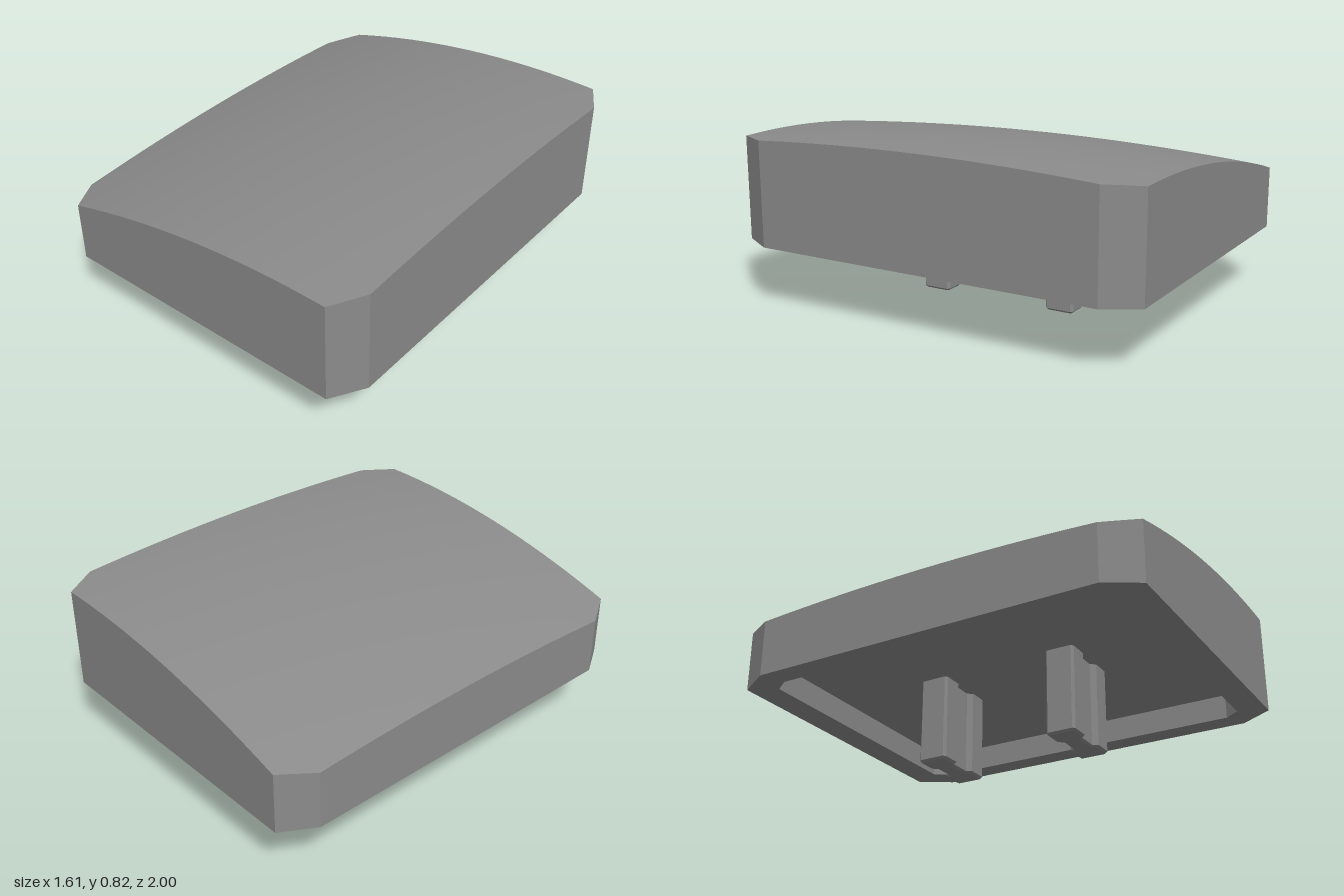
import * as THREE from 'three';
import { toCreasedNormals } from 'three/addons/utils/BufferGeometryUtils.js';

const BASE = 0.291, CEILING = 0.41;

// Height of the domed, sloping top
const topHeight = (x, z) => 0.818 - 0.115 * (x - 0.6) ** 2 - 0.04 * z * z;

// Rectangle with cut corners, sampled as a closed loop of [x, z]
function outline(hx, hz, cx, cz) {
  const corners = [
    [hx, -hz + cz], [hx, hz - cz], [hx - cx, hz], [-hx + cx, hz],
    [-hx, hz - cz], [-hx, -hz + cz], [-hx + cx, -hz], [hx - cx, -hz],
  ];
  const points = [];
  corners.forEach(([x0, z0], i) => {
    const [x1, z1] = corners[(i + 1) % 8];
    const steps = i % 2 ? 2 : 16;
    for (let k = 0; k < steps; k++) {
      points.push([x0 + (x1 - x0) * k / steps, z0 + (z1 - z0) * k / steps]);
    }
  });
  return points;
}

// Skin between successive loops; the first and last loop are single points
function loft(rows) {
  const n = rows[0].length, index = [];
  for (let i = 0; i < rows.length - 1; i++) {
    for (let j = 0; j < n; j++) {
      const a = i * n + j, b = i * n + (j + 1) % n, c = a + n, d = b + n;
      if (i > 0) index.push(a, c, b);
      if (i < rows.length - 2) index.push(b, c, d);
    }
  }
  const geometry = new THREE.BufferGeometry();
  geometry.setAttribute('position', new THREE.Float32BufferAttribute(rows.flat(2), 3));
  geometry.setIndex(index);
  return toCreasedNormals(geometry, 0.35);
}

function capGeometry() {
  const outer = outline(0.803, 1, 0.093, 0.157);
  const inner = outline(0.695, 0.865, 0.05, 0.07);
  const level = (loop, y) => loop.map(([x, z]) => [x, y, z]);
  // Cavity ceiling, cavity wall and bottom rim
  const rows = [
    inner.map(() => [0, CEILING, 0]),
    level(inner, CEILING),
    level(inner, BASE),
    level(outer, BASE),
  ];
  // Outer wall, then rings of the top surface shrinking to the centre
  const rings = 14;
  for (let r = rings; r >= 0; r--) {
    const s = r / rings;
    rows.push(outer.map(([x, z]) => [x * s, topHeight(x * s, z * s), z * s]));
  }
  return loft(rows);
}

// Prong with a waisted section and bevelled ends
function prongGeometry() {
  const half = [[0.17, 0.06], [0.157, 0.071], [0.068, 0.071], [0.052, 0.046]];
  const mirrored = half.map(([x, y]) => [-x, y]).reverse();
  const upper = [...half, ...mirrored];
  const lower = upper.map(([x, y]) => [-x, -y]);
  const shape = new THREE.Shape([...upper, ...lower].map(p => new THREE.Vector2(...p)));
  const bevel = 0.01;
  const geometry = new THREE.ExtrudeGeometry(shape, {
    depth: CEILING - bevel, bevelThickness: bevel, bevelSize: bevel,
    bevelOffset: -bevel, bevelSegments: 1,
  });
  geometry.rotateX(-Math.PI / 2);
  geometry.translate(0, bevel, 0);
  return geometry;
}

export function createModel() {
  const group = new THREE.Group();
  const material = new THREE.MeshStandardMaterial({ color: 0x8b8b8b });

  const cap = new THREE.Mesh(capGeometry(), material);
  cap.name = 'hollowCap';
  group.add(cap);

  // Front and back prongs under the cap
  const prong = prongGeometry();
  for (const [name, side] of [['frontProng', 1], ['backProng', -1]]) {
    const mesh = new THREE.Mesh(prong, material);
    mesh.name = name;
    mesh.position.z = side * 0.333;
    group.add(mesh);
  }
  return group;
}
